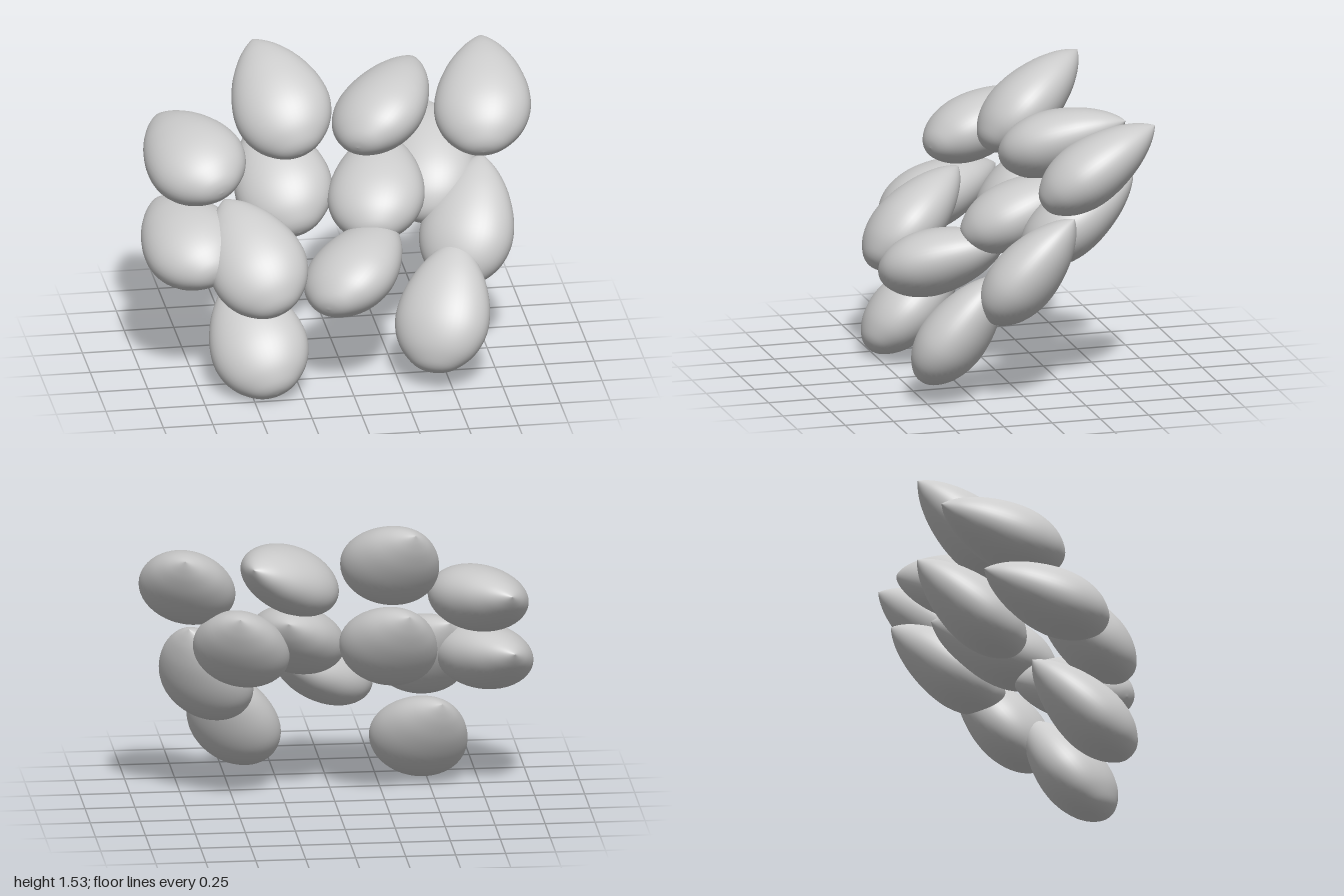
import * as THREE from 'three';

// Teardrop seed: blunt end at y = 0, pointed tip at y = LENGTH, thin along z
const LENGTH = 0.69;
function seedGeometry() {
  const profile = new THREE.SplineCurve([
    [0, 0], [0.06, 0.008], [0.12, 0.037], [0.187, 0.1], [0.229, 0.18], [0.244, 0.27],
    [0.228, 0.38], [0.18, 0.5], [0.115, 0.595], [0.053, 0.655], [0, LENGTH],
  ].map(([r, y]) => new THREE.Vector2(r, y))).getPoints(40);
  profile.forEach(p => { p.x = Math.max(p.x, 0); });
  const geometry = new THREE.LatheGeometry(profile, 48);
  geometry.scale(1, 1, 0.68);
  return geometry;
}

// Face directions (the thin axis) shared by the seeds
const UP = [-0.25, 0.92, 0.3];
const FORWARD = [-0.27, 0.77, 0.58];
const ROLLED = [-0.5, 0.8, 0.25];
const STEEP = [-0.48, 0.52, 0.7];

// Each seed: tip position, direction from blunt end to tip, face direction
const SEEDS = [
  // top row
  [[-0.35, 1.52, -0.53], [-0.16, 0.40, -0.51], FORWARD],
  [[0.46, 1.37, -0.54], [0.36, 0.25, -0.53], ROLLED],
  [[0.81, 1.44, -0.59], [0.07, 0.38, -0.54], FORWARD],
  // left side
  [[-0.84, 1.17, -0.47], [-0.23, 0.18, -0.63], UP],
  [[-0.875, 0.81, -0.26], [-0.20, 0.18, -0.62], UP],
  [[-0.58, 0.90, 0.02], [-0.20, 0.40, -0.49], FORWARD],
  [[-0.54, 0.48, 0.02], [-0.14, 0.41, -0.49], FORWARD],
  // middle
  [[-0.32, 1.10, -0.53], [-0.12, 0.40, -0.52], FORWARD],
  [[0.27, 1.04, -0.39], [0.12, 0.30, -0.58], FORWARD],
  [[0.53, 1.12, -0.56], [0.06, 0.41, -0.53], FORWARD],
  // lower right
  [[0.75, 0.97, -0.19], [0.17, 0.50, -0.36], STEEP],
  [[0.245, 0.73, 0.02], [0.37, 0.23, -0.51], ROLLED],
  [[0.58, 0.66, 0.14], [0.17, 0.52, -0.33], STEEP],
];

export function createModel() {
  const group = new THREE.Group();
  group.name = 'seedCluster';
  const geometry = seedGeometry();
  const material = new THREE.MeshStandardMaterial({ color: 0xcccccc });

  SEEDS.forEach(([tip, direction, face], i) => {
    const axis = new THREE.Vector3(...direction).normalize();
    const side = new THREE.Vector3().crossVectors(axis, new THREE.Vector3(...face)).normalize();
    const normal = new THREE.Vector3().crossVectors(side, axis);
    const seed = new THREE.Mesh(geometry, material);
    seed.name = `seed${i + 1}`;
    seed.quaternion.setFromRotationMatrix(new THREE.Matrix4().makeBasis(side, axis, normal));
    seed.position.set(...tip).addScaledVector(axis, -LENGTH);
    group.add(seed);
  });
  return group;
}
